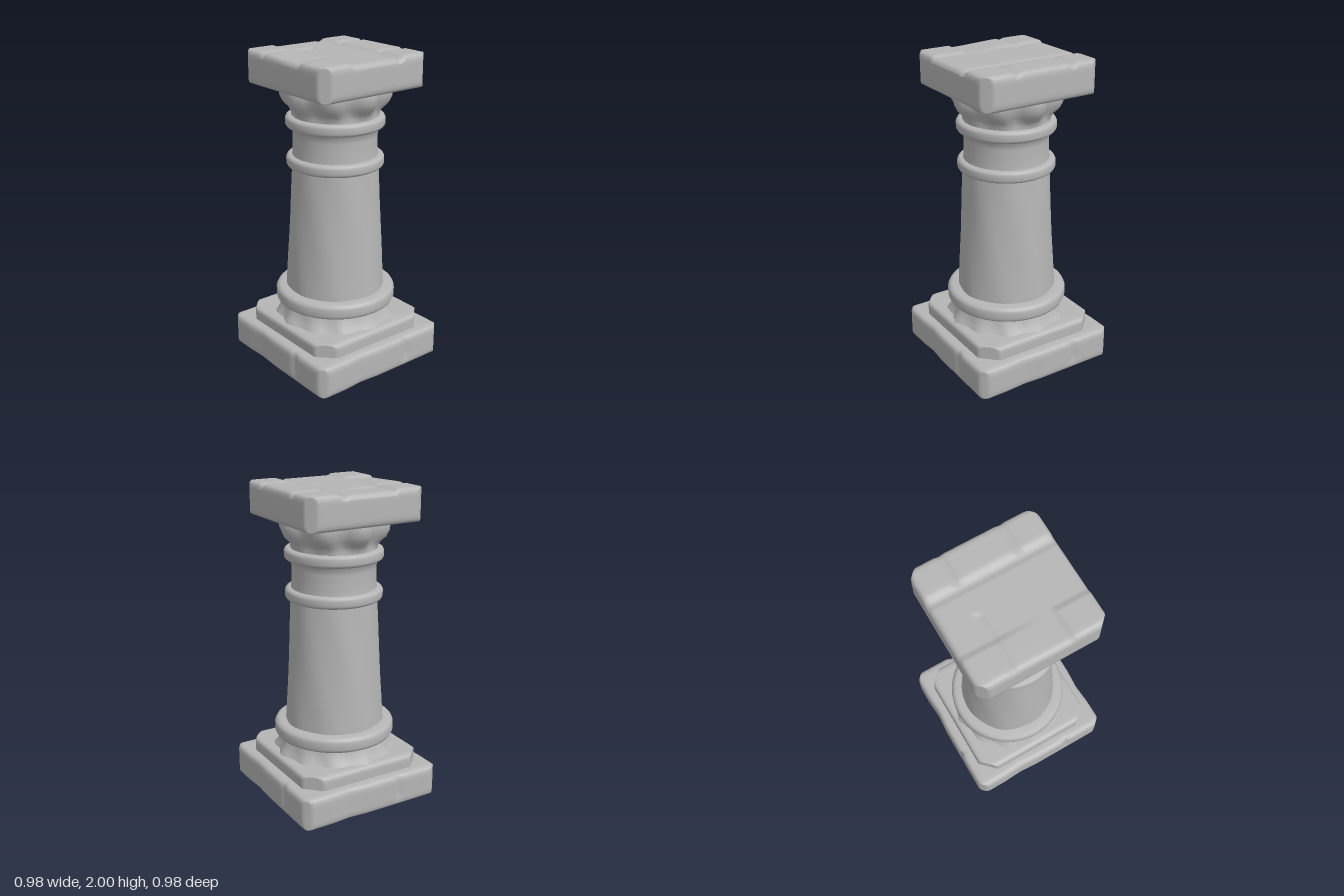
import * as THREE from 'three';
import { mergeVertices } from 'three/addons/utils/BufferGeometryUtils.js';

const stone = new THREE.MeshStandardMaterial({ color: 0xb6b6b6 });
stone.name = 'grey stone';

const { clamp, smoothstep } = THREE.MathUtils;
// 1 at the middle of a V-shaped notch, 0 outside it
const notch = (v, at, width) => Math.max(0, 1 - Math.abs(v - at) / width);

function smooth(geometry) {
  geometry.deleteAttribute('uv');
  geometry.deleteAttribute('normal');
  const merged = mergeVertices(geometry, 1e-4);
  merged.computeVertexNormals();
  return merged;
}

// Square slab with rounded edges and cut corners, then chipped by a rule
function slab(half, y0, y1, round, cut, chip) {
  const h = (y1 - y0) / 2;
  const geo = new THREE.BoxGeometry(half * 2, h * 2, half * 2, 48, 10, 48);
  const p = geo.attributes.position;
  const v = new THREE.Vector3(), inner = new THREE.Vector3();
  for (let i = 0; i < p.count; i++) {
    v.fromBufferAttribute(p, i);
    inner.set(
      clamp(v.x, -half + round, half - round),
      clamp(v.y, -h + round, h - round),
      clamp(v.z, -half + round, half - round));
    v.sub(inner).normalize().multiplyScalar(round).add(inner);
    const over = Math.abs(v.x) + Math.abs(v.z) - (2 * half - cut);
    if (over > 0) {
      v.x -= Math.sign(v.x) * over / 2;
      v.z -= Math.sign(v.z) * over / 2;
    }
    v.y += (y0 + y1) / 2;
    if (chip) chip(v);
    p.setXYZ(i, v.x, v.y, v.z);
  }
  return smooth(geo);
}

// Turned section, with its radius changed by a rule
function turned(profile, rule) {
  const geo = new THREE.LatheGeometry(profile.map(([r, y]) => new THREE.Vector2(r, y)), 48);
  const p = geo.attributes.position;
  if (rule) for (let i = 0; i < p.count; i++) {
    const x = p.getX(i), y = p.getY(i), z = p.getZ(i);
    const k = rule(Math.atan2(z, x), y);
    p.setXYZ(i, x * k, y, z * k);
  }
  return smooth(geo);
}

// Vertical cracks and shallow worn faces round the plinth
function chipPlinth(v) {
  const depth = 0.016 * smoothstep(v.y, 0.02, 0.08);
  const edge = 0.44;
  if (Math.abs(v.z) > edge) {
    const s = Math.sign(v.z);
    v.z -= s * (depth * notch(v.x, 0.19 * s, 0.03) + 0.01 * notch(v.x, -0.17 * s, 0.13));
  }
  if (Math.abs(v.x) > edge) {
    const s = Math.sign(v.x);
    v.x -= s * (depth * notch(v.z, -0.2 * s, 0.03) + 0.008 * notch(v.z, 0.17 * s, 0.13));
  }
  if (v.y < 0.005) v.y += 0.015 * (notch(v.x, 0.05, 0.2) + notch(v.z, -0.05, 0.2)) * 0.5;
}

// Cracked paving on top of the upper slab
function chipTop(v) {
  if (v.y < 1.96) return;
  let drop = 0.02 * notch(v.x, 0.17, 0.035);
  if (v.x > -0.2 && v.x < 0.16) drop += 0.012;
  if (v.x < -0.19 && v.z > -0.2 && v.z < 0.17) drop += 0.012 * smoothstep(v.z, -0.2, 0.17);
  if (v.x < 0) drop += 0.012 * notch(v.z, -0.19, 0.03);
  if (v.x > 0.19) drop += 0.012 * (notch(v.z, -0.2, 0.03) + notch(v.z, 0.18, 0.03));
  v.y -= drop;
}

export function createModel() {
  const model = new THREE.Group();
  model.name = 'stonePillar';
  const add = (name, geo) => {
    const mesh = new THREE.Mesh(geo, stone);
    mesh.name = name;
    model.add(mesh);
  };

  // Square foot
  add('plinth', slab(0.49, 0, 0.21, 0.035, 0.05, chipPlinth));
  add('plinthStep', slab(0.42, 0.18, 0.295, 0.03, 0.1));

  // Flared foot with small wedges all round
  add('footFlare', turned(
    [[0.40, 0.285], [0.385, 0.31], [0.345, 0.36], [0.335, 0.41]],
    (a, y) => 1 - 0.07 * Math.pow(Math.abs(Math.sin(a * 6)), 2) * (1 - smoothstep(y, 0.31, 0.41))));

  // Rounded rings
  const ring = (name, r, inner, y0, y1) => {
    const b = (y1 - y0) * 0.28;
    add(name, turned([
      [inner, y0], [r - b, y0], [r - b * 0.3, y0 + b * 0.4], [r, y0 + b],
      [r, y1 - b], [r - b * 0.3, y1 - b * 0.4], [r - b, y1], [inner, y1],
    ]));
  };
  ring('baseRing', 0.385, 0.29, 0.385, 0.487);
  ring('collarRing', 0.305, 0.25, 1.29, 1.365);

  // Tapered shaft with gently worn facets
  const shaft = [];
  for (let i = 0; i <= 12; i++) shaft.push([0.314 - 0.045 * i / 12, 0.475 + 0.83 * i / 12]);
  add('shaft', turned(shaft, (a, y) =>
    1 + 0.008 * Math.sin(a * 5 + y * 3) + 0.006 * Math.sin(a * 8 - y * 7)));

  // Neck, flaring into the upper ring
  add('neck', turned([[0.27, 1.35], [0.264, 1.39], [0.262, 1.49], [0.268, 1.53], [0.29, 1.555]]));
  ring('upperRing', 0.308, 0.25, 1.54, 1.615);

  // Capital with eight blunt leaves
  add('capital', turned(
    [[0.27, 1.6], [0.272, 1.63], [0.29, 1.66], [0.325, 1.69], [0.345, 1.73], [0.35, 1.77], [0.34, 1.81]],
    (a, y) => 1 - 0.15 * Math.pow(Math.abs(Math.sin(a * 4)), 3) * smoothstep(y, 1.61, 1.7)));

  // Square top
  add('topSlab', slab(0.4, 1.79, 2.0, 0.035, 0.06, chipTop));

  return model;
}
